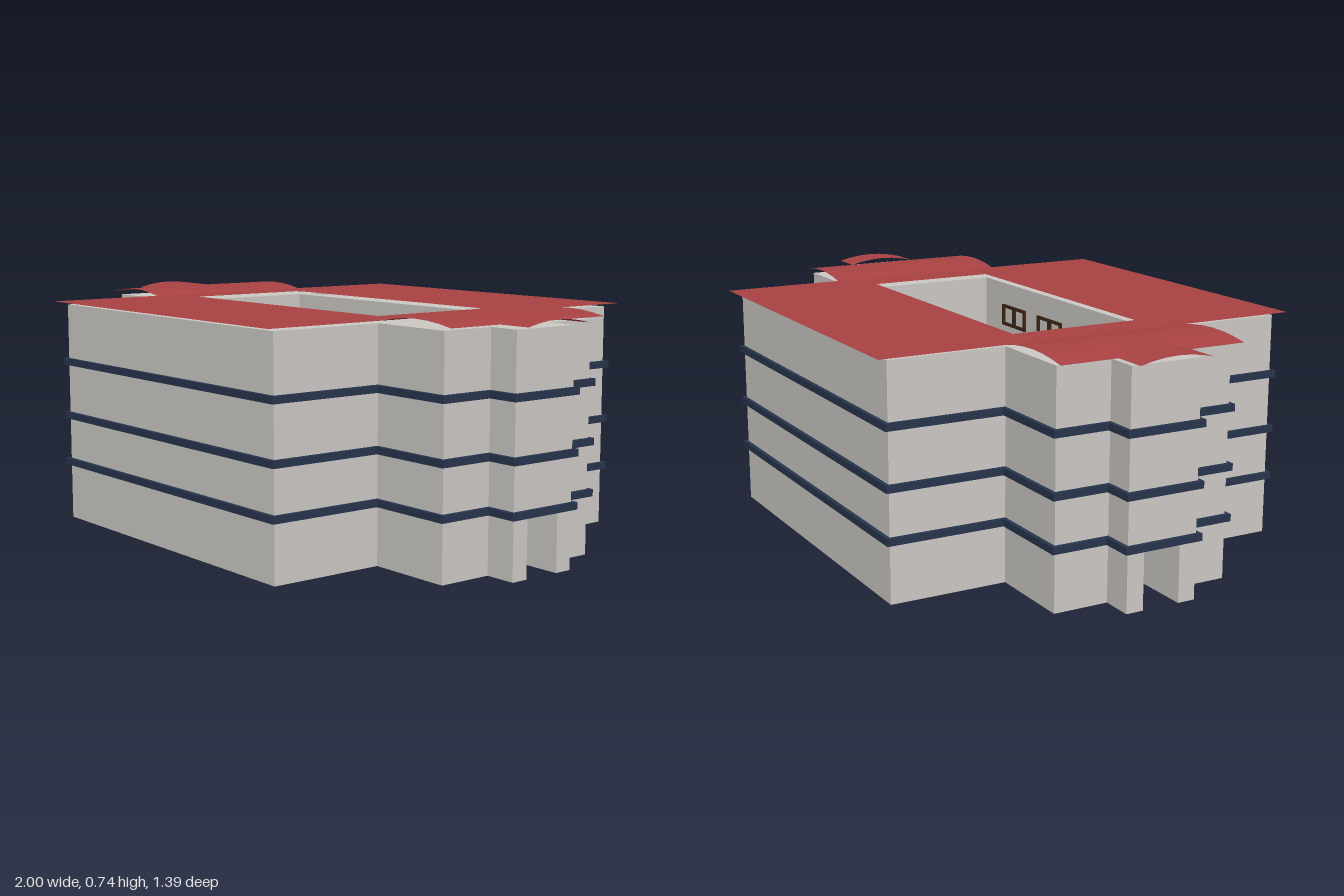
import * as THREE from 'three';

const material = (name, color, extra = {}) => {
  const m = new THREE.MeshStandardMaterial({ color, ...extra });
  m.name = name;
  return m;
};
const toShape = (pts) => new THREE.Shape(pts.map(([x, z]) => new THREE.Vector2(x, z)));
const mirrorX = (pts) => [...pts, ...pts.map(([x, z]) => [-x, z]).reverse()];
const rect = (x, z) => [[x, z], [-x, z], [-x, -z], [x, -z]];

// Stepped cross-shaped footprint, widened by an offset
function footprint(o = 0) {
  const half = mirrorX([
    [0.95 + o, 0.115 + o], [0.85 + o, 0.115 + o], [0.85 + o, 0.29 + o],
    [0.57 + o, 0.29 + o], [0.57 + o, 0.66 + o],
  ]);
  return [...half, ...half.map(([x, z]) => [-x, -z])];
}

// Upright extrusion of a plan from y0 to y1
function extrudePlan(outline, holes, y0, y1) {
  const s = toShape(outline);
  s.holes = holes.map(toShape);
  const g = new THREE.ExtrudeGeometry(s, { depth: y1 - y0, bevelEnabled: false });
  return g.rotateX(-Math.PI / 2).translate(0, y0, 0);
}

export function createModel() {
  const model = new THREE.Group();
  const wall = material('wall grey', 0xcbc8c4);
  const navy = material('band navy', 0x27344c);
  const red = material('roof red', 0xa84142, { side: THREE.DoubleSide, flatShading: true });
  const brown = material('window frame brown', 0x3d2415);
  const add = (name, geometry, mat, parent = model) => {
    const mesh = new THREE.Mesh(geometry, mat);
    mesh.name = name;
    parent.add(mesh);
    return mesh;
  };

  // Walls: ground floor in two halves around the passage, then the upper floors
  const passageTop = 0.185, wallTop = 0.71;
  const court = rect(0.465, 0.21);
  const corridor = mirrorX([[0.46, 0.25], [0.46, 0.55]]).slice(0, 4);
  const corridorPlan = [
    corridor[0], corridor[1], corridor[2], corridor[3],
    [-0.38, 0.25], [-0.38, 0.47], [0.38, 0.47], [0.38, 0.25],
  ];
  const corridorBack = corridorPlan.map(([x, z]) => [-x, -z]);
  const lowerHalf = mirrorX([
    [0.465, 0.21], [0.465, 0.06], [0.95, 0.06], [0.95, 0.115],
    [0.85, 0.115], [0.85, 0.29], [0.57, 0.29], [0.57, 0.66],
  ]);
  for (const [name, turn] of [['backGroundFloor', 0], ['frontGroundFloor', Math.PI]]) {
    add(name, extrudePlan(lowerHalf, [corridorPlan], 0, passageTop), wall).rotation.y = turn;
  }
  add('upperFloors', extrudePlan(footprint(), [court, corridorPlan, corridorBack], passageTop, wallTop), wall);

  // Bands between the floors
  for (const y of [0.19, 0.345, 0.523]) {
    add('floorBand', extrudePlan(footprint(0.013), [footprint(-0.002)], y - 0.011, y + 0.011), navy);
  }

  // Flat main roof around the courtyard
  const roofY = 0.72;
  const roofShape = toShape(rect(0.597, 0.697));
  roofShape.holes = [toShape(rect(0.475, 0.212))];
  add('mainRoof', new THREE.ShapeGeometry(roofShape).rotateX(-Math.PI / 2).translate(0, roofY, 0), red);

  // Shallow vaulted roofs, arched along x or along z
  function vault(name, x0, x1, halfZ, axis) {
    const g = new THREE.PlaneGeometry(x1 - x0, halfZ * 2, axis === 'x' ? 6 : 1, axis === 'z' ? 6 : 1);
    g.rotateX(-Math.PI / 2);
    const p = g.attributes.position;
    const half = axis === 'x' ? (x1 - x0) / 2 : halfZ;
    for (let i = 0; i < p.count; i++) {
      const t = (axis === 'x' ? p.getX(i) : p.getZ(i)) / half;
      p.setY(i, 0.016 * (1 - t * t));
    }
    g.translate((x0 + x1) / 2, roofY, 0);
    g.computeVertexNormals();
    add(name, g, red);
  }
  vault('leftWingRoof', 0.597, 0.89, 0.303, 'x');
  vault('rightWingRoof', -0.893, -0.597, 0.303, 'x');
  vault('leftPorchRoof', 0.89, 1, 0.12, 'z');
  vault('rightPorchRoof', -1, -0.76, 0.12, 'z');

  // Two-pane window frames on the long courtyard walls
  const frame = toShape(rect(0.077, 0.036));
  for (const cx of [-0.037, 0.037]) {
    frame.holes.push(toShape(rect(0.029, 0.026).map(([x, y]) => [x + cx, y])));
  }
  const frameGeo = new THREE.ExtrudeGeometry(frame, { depth: 0.008, bevelEnabled: false });
  for (const y of [0.13, 0.29, 0.45, 0.6]) {
    for (const x of [-0.215, 0.022, 0.26]) {
      add('backCourtWindow', frameGeo, brown).position.set(x, y, -0.211);
      const front = add('frontCourtWindow', frameGeo, brown);
      front.position.set(x, y, 0.211);
      front.rotation.y = Math.PI;
    }
  }
  return model;
}
